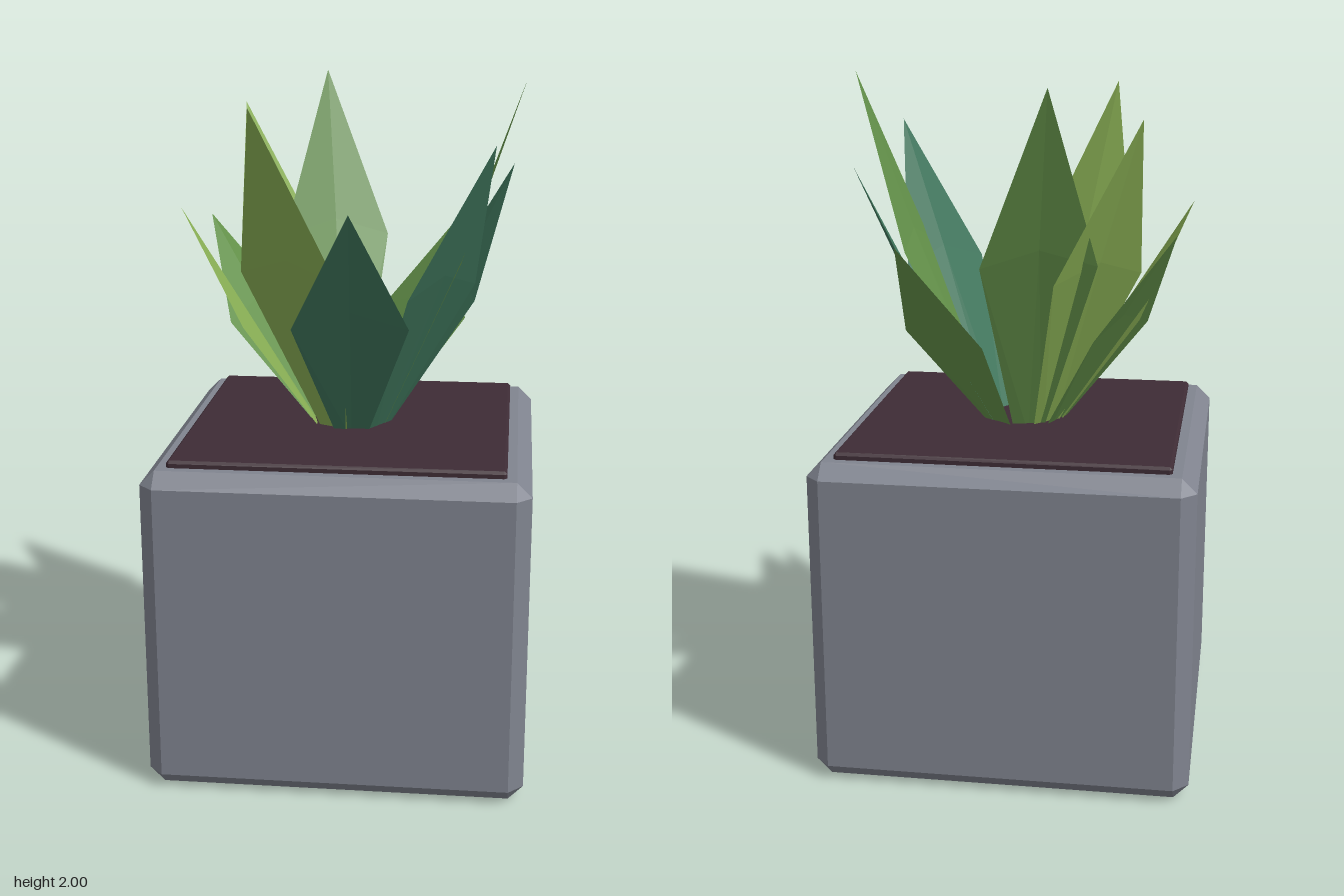
import * as THREE from 'three';
import { ConvexGeometry } from 'three/addons/geometries/ConvexGeometry.js';

const material = (name, color, side = THREE.FrontSide) => {
  const m = new THREE.MeshStandardMaterial({ color, side });
  m.name = name;
  return m;
};

// Box with every edge cut at 45 degrees, including small corner triangles
function chamferBox(w, h, d, c) {
  const half = [w / 2, h / 2, d / 2];
  const points = [];
  for (const sx of [-1, 1]) for (const sy of [-1, 1]) for (const sz of [-1, 1])
    for (let axis = 0; axis < 3; axis++) {
      const p = half.map((v, i) => (i === axis ? v : v - c));
      points.push(new THREE.Vector3(sx * p[0], sy * p[1], sz * p[2]));
    }
  return new ConvexGeometry(points);
}

// Faceted blade leaning along +x, with a raised rib and a pointed tip
function leafGeometry(tipY) {
  const baseY = 0.94;
  const cornerY = 0.97 + (tipY - 0.97) * 0.51;
  const halfWidth = 0.165;
  const p = [
    [0.085, baseY, -0.04], [0.085, baseY, 0], [0.085, baseY, 0.04],
    [0.327, cornerY, -halfWidth], [0.335, cornerY + 0.05, 0], [0.327, cornerY, halfWidth],
    [0.5, tipY, 0],
  ];
  const faces = [[0, 1, 4], [0, 4, 3], [1, 2, 5], [1, 5, 4], [3, 4, 6], [4, 5, 6]];
  const geometry = new THREE.BufferGeometry();
  geometry.setAttribute('position', new THREE.Float32BufferAttribute(faces.flat().flatMap(i => p[i]), 3));
  geometry.computeVertexNormals();
  return geometry;
}

export function createModel() {
  const model = new THREE.Group();
  model.name = 'pottedSucculent';

  const stone = material('greyStone', 0x80848f);
  const earth = material('darkSoil', 0x3e2c35);
  const green = material('midGreen', 0x64924a, THREE.DoubleSide);
  const lime = material('lightGreen', 0x8ab055, THREE.DoubleSide);
  const teal = material('tealGreen', 0x3f765c, THREE.DoubleSide);

  // Square pot
  const pot = new THREE.Mesh(chamferBox(1.09, 0.96, 1.09, 0.043), stone);
  pot.name = 'pot';
  pot.position.y = 0.48;
  model.add(pot);

  // Soil slab standing slightly proud of the rim
  const soil = new THREE.Mesh(chamferBox(0.95, 0.06, 0.95, 0.008), earth);
  soil.name = 'soil';
  soil.position.y = 0.95;
  model.add(soil);

  // Ring of leaves: angle from +x towards +z in degrees, tip height, colour
  const leaves = new THREE.Group();
  leaves.name = 'leaves';
  const ring = [
    [0, 2.0, green], [32.7, 1.84, teal], [85.4, 1.68, teal], [117.6, 1.95, lime],
    [170, 1.63, lime], [203.5, 1.57, green], [222.6, 1.9, lime], [255, 1.99, green],
    [307.5, 1.55, green], [340, 1.74, teal],
  ];
  ring.forEach(([angle, tipY, mat], i) => {
    const leaf = new THREE.Mesh(leafGeometry(tipY), mat);
    leaf.name = `leaf${i + 1}`;
    leaf.rotation.y = -THREE.MathUtils.degToRad(angle);
    leaves.add(leaf);
  });
  model.add(leaves);
  return model;
}
